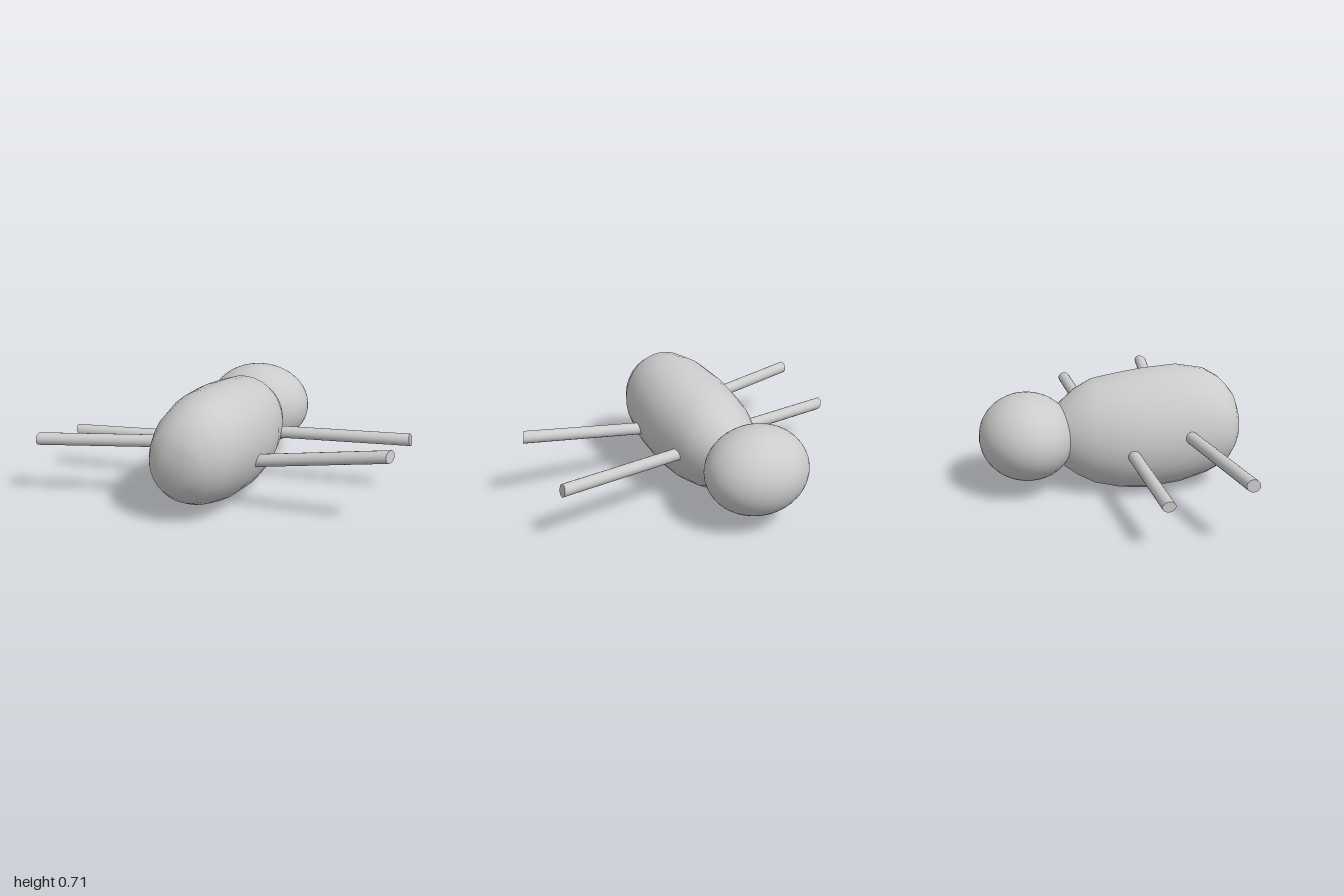
import * as THREE from 'three';

const material = new THREE.MeshStandardMaterial({ color: 0xcccccc });
const SIDES = 32;

// Body sections from front to back: [z, xMin, xMax, yMin, yMax]
const sections = [
  [0.75, -0.17, 0.04, 0.27, 0.48],
  [0.73, -0.215, 0.08, 0.225, 0.54],
  [0.69, -0.265, 0.13, 0.165, 0.595],
  [0.645, -0.29, 0.175, 0.125, 0.64],
  [0.56, -0.32, 0.215, 0.08, 0.69],
  [0.4, -0.345, 0.25, 0.03, 0.715],
  [0.2, -0.355, 0.262, 0.004, 0.697],
  [0.05, -0.34, 0.255, 0.01, 0.673],
  [-0.1, -0.305, 0.225, 0.04, 0.645],
  [-0.2, -0.265, 0.19, 0.09, 0.59],
  [-0.29, -0.205, 0.125, 0.155, 0.515],
  [-0.36, -0.14, 0.04, 0.25, 0.43],
];

// Smooth closed skin through elliptical rings, with a pole at each end
function bodyGeometry() {
  const points = [], index = [];
  for (const [z, x0, x1, y0, y1] of sections) {
    for (let i = 0; i < SIDES; i++) {
      const a = (i / SIDES) * Math.PI * 2;
      const y = (y0 + y1) / 2 + ((y1 - y0) / 2) * Math.sin(a);
      // the top leans a little towards +x
      const x = (x0 + x1) / 2 + ((x1 - x0) / 2) * Math.cos(a) + 0.1 * (y - 0.36);
      points.push(x, y, z);
    }
  }
  const front = points.length / 3, back = front + 1;
  points.push(-0.06, 0.385, 0.767, -0.05, 0.34, -0.38);
  const last = (sections.length - 1) * SIDES;
  for (let i = 0; i < SIDES; i++) {
    const j = (i + 1) % SIDES;
    index.push(front, i, j, back, last + j, last + i);
    for (let k = 0; k < last; k += SIDES) {
      index.push(k + i, k + SIDES + i, k + j, k + j, k + SIDES + i, k + SIDES + j);
    }
  }
  const geometry = new THREE.BufferGeometry();
  geometry.setAttribute('position', new THREE.Float32BufferAttribute(points, 3));
  geometry.setIndex(index);
  geometry.computeVertexNormals();
  return geometry;
}

// Thin rod from a to b; its outer end is cut on the plane x = b.x + sy*dy + sz*dz
function limbGeometry(a, b, sy, sz) {
  const start = new THREE.Vector3(...a), end = new THREE.Vector3(...b);
  const dir = end.clone().sub(start);
  const length = dir.length();
  dir.normalize();
  const geometry = new THREE.CylinderGeometry(0.036, 0.036, length, 16);
  const turn = new THREE.Quaternion().setFromUnitVectors(new THREE.Vector3(0, 1, 0), dir);
  const middle = start.clone().lerp(end, 0.5);
  geometry.applyQuaternion(turn).translate(middle.x, middle.y, middle.z);
  const position = geometry.attributes.position, p = new THREE.Vector3();
  for (let i = 0; i < position.count; i++) {
    p.fromBufferAttribute(position, i);
    const d = p.clone().sub(end);
    if (d.dot(dir) < -length / 2) continue;
    const slide = (sy * d.y + sz * d.z - d.x) / (dir.x - sy * dir.y - sz * dir.z);
    p.addScaledVector(dir, slide);
    position.setXYZ(i, p.x, p.y, p.z);
  }
  return geometry;
}

export function createModel() {
  const model = new THREE.Group();
  const add = (name, geometry) => {
    const mesh = new THREE.Mesh(geometry, material);
    mesh.name = name;
    model.add(mesh);
    return mesh;
  };

  add('body', bodyGeometry());

  // Head: slightly turned ellipsoid
  const head = add('head', new THREE.SphereGeometry(1, 40, 28));
  head.scale.set(0.312, 0.252, 0.277);
  head.position.set(-0.075, 0.337, -0.49);
  head.rotation.y = 0.15;

  // Limbs: inner point, outer point, slant of the outer cut
  add('frontLeftLeg', limbGeometry([0.15, 0.3, 0.352], [0.985, 0.447, 0.335], -0.1, -0.4));
  add('backLeftLeg', limbGeometry([0.13, 0.325, -0.075], [0.975, 0.35, -0.19], -0.2, 0));
  add('frontRightLeg', limbGeometry([-0.24, 0.382, 0.41], [-1, 0.365, 0.627], 0, 0));
  add('backRightLeg', limbGeometry([-0.24, 0.288, 0.093], [-0.988, 0.265, 0.193], -0.35, 0));

  return model;
}
